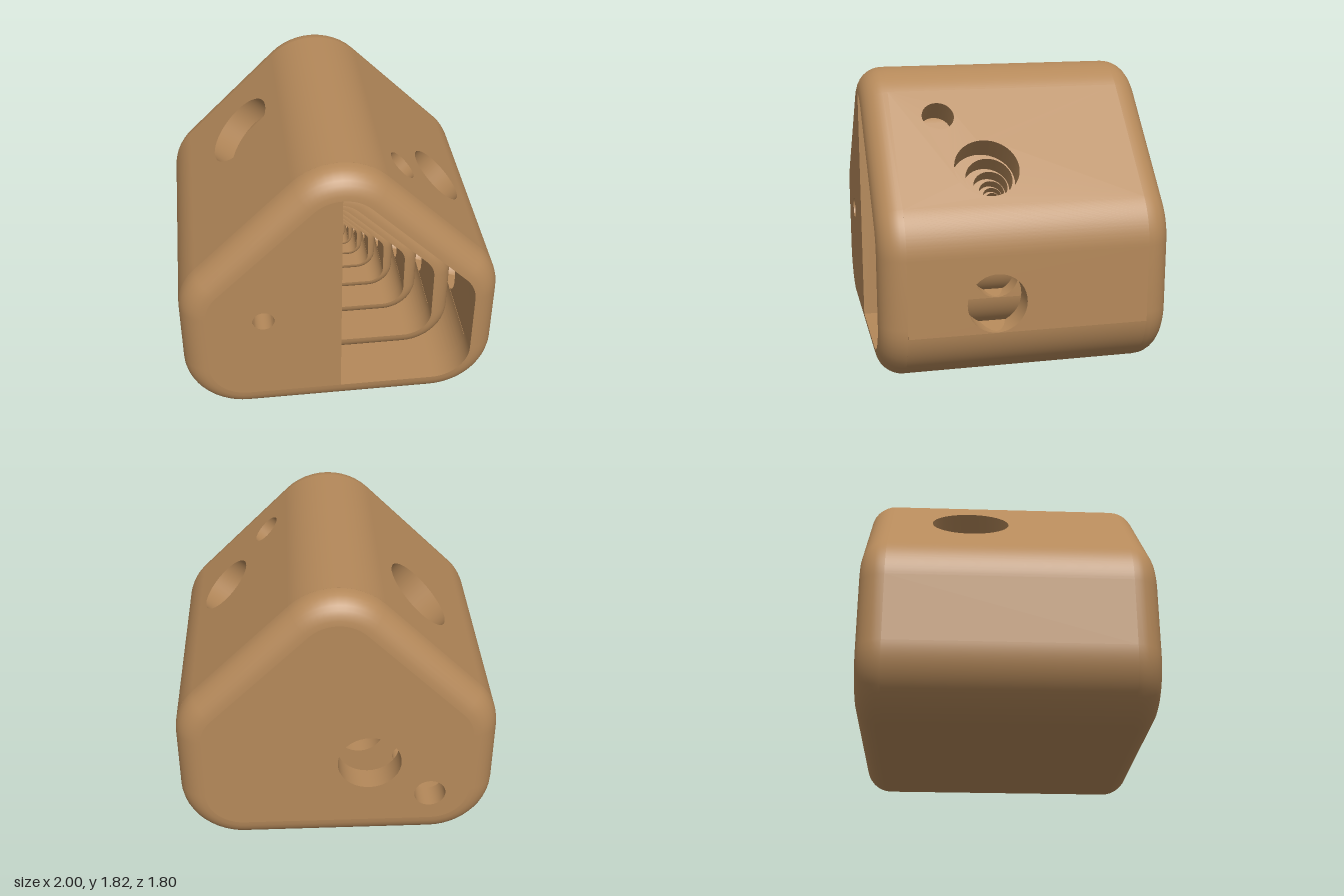
import * as THREE from 'three';
import { toCreasedNormals } from 'three/addons/utils/BufferGeometryUtils.js';

const R = 0.4;        // corner radius of the house profile
const T = 0.16;       // wall thickness and edge rounding
const Z = 0.9;        // half depth
const ZS = Z - T;     // half length of the straight walls
const STEPS = 12;     // segments per corner
const RAD = Math.PI / 180;

// Corner centres, counter-clockwise from bottom right, and the normals between them
const CORNERS = [[0.6, 0.4], [0.6, 0.824], [0, 1.424], [-0.6, 0.824], [-0.6, 0.4]];
const NORMALS = [-90, 0, 45, 135, 180, 270].map((a) => a * RAD);

// Round holes per wall: [distance along wall, z, radius]
const WALL_HOLES = [
  [[0.13, 0.2, 0.183]],
  [[0.259, 0.2, 0.2], [0.651, 0.45, 0.1]],
  [[0.363, -0.23, 0.247]],
  [],
  [],
];
const WALL_NAMES = ['rightWall', 'rightRoof', 'leftRoof', 'leftWall', 'floor'];
const OVERLAP = 0.056; // the right wall's hole reaches slightly into the corner

const material = new THREE.MeshStandardMaterial({ color: 0xb5895a });

// House outline moved inward by d
function profile(d) {
  const points = [];
  CORNERS.forEach(([cx, cy], i) => {
    for (let k = 0; k <= STEPS; k++) {
      const a = NORMALS[i] + ((NORMALS[i + 1] - NORMALS[i]) * k) / STEPS;
      points.push(new THREE.Vector2(cx + (R - d) * Math.cos(a), cy + (R - d) * Math.sin(a)));
    }
  });
  return points;
}

function addHole(shape, x, y, r) {
  shape.holes.push(new THREE.Path().absarc(x, y, r, 0, Math.PI * 2, true));
}

function extrude(shape, depth) {
  return new THREE.ExtrudeGeometry(shape, { depth, bevelEnabled: false, curveSegments: 20 });
}

function addMesh(group, geometry, name) {
  const mesh = new THREE.Mesh(toCreasedNormals(geometry, 0.6), material);
  mesh.name = name;
  group.add(mesh);
}

// Skin through outlines given as [inset, z]
function loft(rows) {
  const positions = [];
  const index = [];
  const n = CORNERS.length * (STEPS + 1);
  rows.forEach(([d, z], j) => {
    profile(d).forEach((p, i) => {
      positions.push(p.x, p.y, z);
      if (j === rows.length - 1) return;
      const a = j * n + i;
      const b = j * n + ((i + 1) % n);
      index.push(a, b, b + n, a, b + n, a + n);
    });
  });
  const geometry = new THREE.BufferGeometry();
  geometry.setAttribute('position', new THREE.Float32BufferAttribute(positions, 3));
  geometry.setIndex(index);
  return geometry;
}

function createShell() {
  const shell = new THREE.Group();

  CORNERS.forEach(([cx, cy], i) => {
    // Flat wall, with its holes, between this corner and the next
    const next = CORNERS[(i + 1) % CORNERS.length];
    const length = Math.hypot(next[0] - cx, next[1] - cy);
    const start = i === 0 ? -OVERLAP : 0;
    const wall = new THREE.Shape([
      new THREE.Vector2(start, -ZS), new THREE.Vector2(length, -ZS),
      new THREE.Vector2(length, ZS), new THREE.Vector2(start, ZS),
    ]);
    WALL_HOLES[i].forEach((h) => addHole(wall, ...h));
    const a = NORMALS[i + 1];
    const normal = new THREE.Vector3(Math.cos(a), Math.sin(a), 0);
    const tangent = new THREE.Vector3(-Math.sin(a), Math.cos(a), 0);
    const matrix = new THREE.Matrix4()
      .makeBasis(tangent, new THREE.Vector3(0, 0, 1), normal)
      .setPosition(cx + normal.x * (R - T), cy + normal.y * (R - T), 0);
    addMesh(shell, extrude(wall, T).applyMatrix4(matrix), WALL_NAMES[i]);

    // Rounded corner
    const end = i === 0 ? a - Math.asin(OVERLAP / R) : a;
    const corner = new THREE.Shape();
    corner.absarc(cx, cy, R, NORMALS[i], end, false);
    corner.absarc(cx, cy, R - T, end, NORMALS[i], true);
    addMesh(shell, extrude(corner, 2 * ZS).translate(0, 0, -ZS), 'roundedCorner');
  });

  // Rounded rims at front and back
  const front = [];
  for (let k = 0; k <= 8; k++) {
    const t = (k / 8) * Math.PI / 2;
    front.push([T * (1 - Math.cos(t)), ZS + T * Math.sin(t)]);
  }
  front.push([T, ZS]);
  addMesh(shell, loft(front), 'frontRim');
  addMesh(shell, loft(front.map(([d, z]) => [d, -z]).reverse()), 'backRim');

  // Back wall with two holes
  const back = new THREE.Shape(profile(T));
  addHole(back, -0.2, 0.635, 0.2);
  addHole(back, -0.59, 0.37, 0.1);
  addMesh(shell, extrude(back, T).translate(0, 0, -Z), 'backWall');

  // Front panel closing only one half
  const half = profile(T).filter((p) => p.x < 1e-6);
  half.push(new THREE.Vector2(0, T));
  const panel = new THREE.Shape(half);
  addHole(panel, -0.485, 0.78, 0.068);
  addMesh(shell, extrude(panel, T).translate(0, 0, ZS), 'frontPanel');
  return shell;
}

export function createModel() {
  const model = new THREE.Group();
  model.name = 'nestedHouses';

  // Ever smaller copies around a common centre
  const outer = createShell();
  const centreY = 0.856;
  for (let i = 0; i < 12; i++) {
    const s = Math.pow(0.743, i);
    const shell = i === 0 ? outer : outer.clone();
    shell.name = i === 0 ? 'outerHouse' : 'innerHouse' + i;
    shell.scale.setScalar(s);
    shell.position.y = centreY * (1 - s);
    model.add(shell);
  }
  return model;
}
